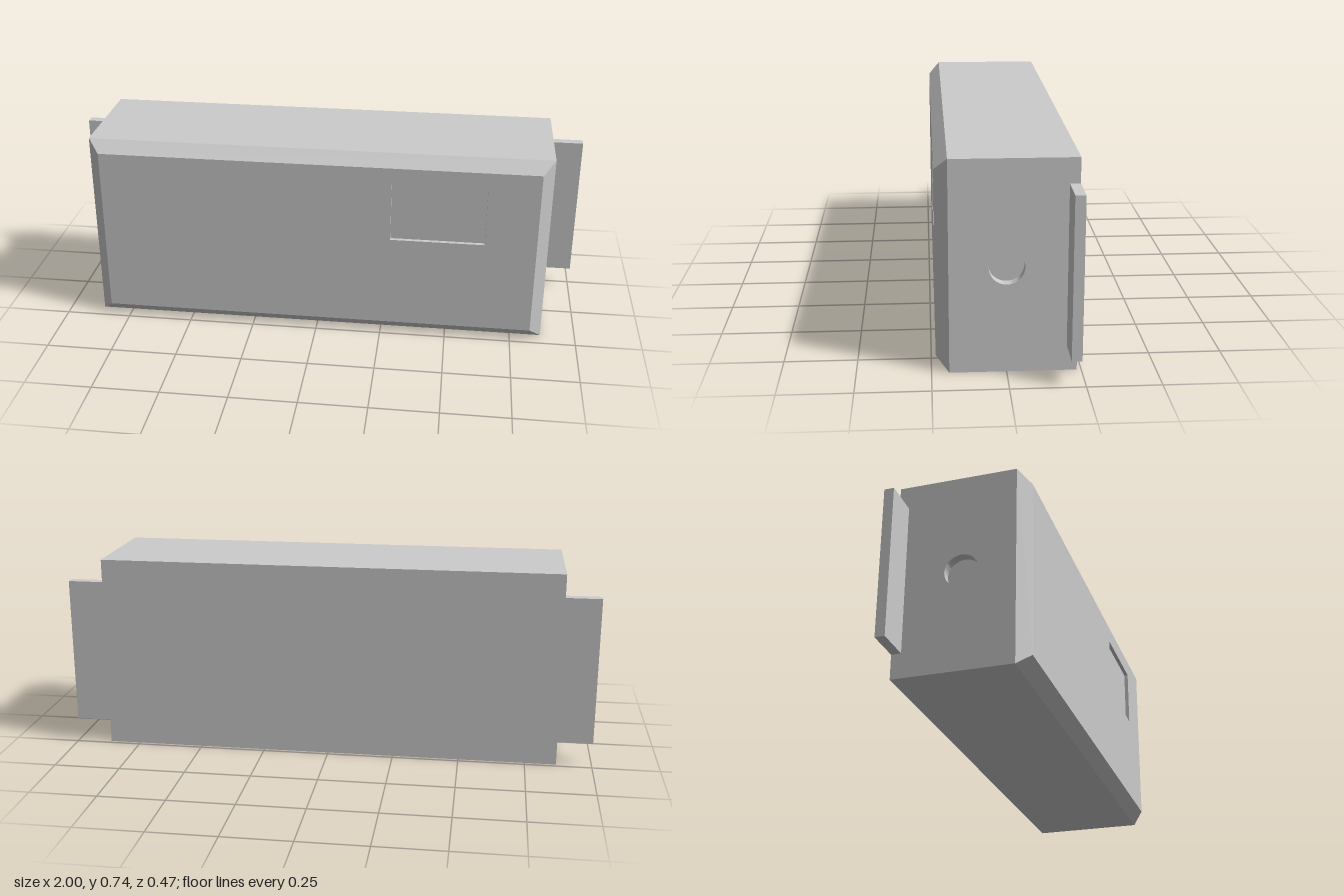
import * as THREE from 'three';
import { mergeGeometries, toCreasedNormals } from 'three/addons/utils/BufferGeometryUtils.js';

const W = 0.868, H = 0.735, D = 0.235; // half width, height, half depth
const C = 0.044; // front chamfer

const material = new THREE.MeshStandardMaterial({ color: 0xcccccc });

// Flat quads, each given as four counter-clockwise corners
function quads(list) {
  const pos = list.flatMap(([a, b, c, d]) => [a, b, c, a, c, d].flat());
  const g = new THREE.BufferGeometry();
  g.setAttribute('position', new THREE.Float32BufferAttribute(pos, 3));
  g.computeVertexNormals();
  return g;
}

const rect = (x0, y0, x1, y1) =>
  [[x0, y0], [x1, y0], [x1, y1], [x0, y1]].map(([x, y]) => new THREE.Vector2(x, y));

// Flat face in the xy plane with a blind pocket sunk towards -z
function pocketFace(outline, hole, depth) {
  const face = new THREE.Shape(outline);
  face.holes.push(new THREE.Path(hole));
  const floor = new THREE.ShapeGeometry(new THREE.Shape(hole)).translate(0, 0, -depth);
  const walls = quads(hole.map((p, i) => {
    const q = hole[(i + 1) % hole.length];
    return [[p.x, p.y, 0], [q.x, q.y, 0], [q.x, q.y, -depth], [p.x, p.y, -depth]];
  }));
  const parts = [new THREE.ShapeGeometry(face), floor].map((g) => {
    const flat = g.toNonIndexed();
    flat.deleteAttribute('uv');
    return flat;
  });
  return toCreasedNormals(mergeGeometries([...parts, walls]), 0.5);
}

export function createModel() {
  const group = new THREE.Group();
  const add = (name, geometry) => {
    const mesh = new THREE.Mesh(geometry, material);
    mesh.name = name;
    group.add(mesh);
    return mesh;
  };

  // Housing: top, bottom and back walls plus the chamfers round the front
  const ring = (z, inset) =>
    rect(-W + inset, inset, W - inset, H - inset).map((p) => [p.x, p.y, z]);
  const back = ring(-D, 0), mid = ring(D - C, 0), front = ring(D, C);
  const shell = [[...back].reverse()];
  for (let i = 0; i < 4; i++) {
    const j = (i + 1) % 4;
    if (i % 2 === 0) shell.push([back[i], back[j], mid[j], mid[i]]);
    shell.push([mid[i], mid[j], front[j], front[i]]);
  }
  add('housing', quads(shell));

  // Front panel with its shallow display recess
  add('frontPanel', pocketFace(rect(-W + C, C, W - C, H - C), rect(0.28, 0.4, 0.632, 0.625), 0.015))
    .position.z = D;

  // Ends, each with a round cable recess and a mounting flange
  const circle = Array.from({ length: 48 }, (_, i) => {
    const a = (i / 48) * Math.PI * 2;
    return new THREE.Vector2(0.06 * Math.cos(a), 0.369 + 0.06 * Math.sin(a));
  });
  for (const [side, s] of [['left', 1], ['right', -1]]) {
    const outline = s > 0 ? rect(C - D, 0, D, H) : rect(-D, 0, D - C, H);
    const end = add(side + 'End', pocketFace(outline, circle, 0.035));
    end.rotation.y = s * Math.PI / 2;
    end.position.x = s * W;

    const flange = add(side + 'Flange', new THREE.BoxGeometry(1 - W, 0.558, 0.035));
    flange.position.set(s * (1 + W) / 2, 0.369, -D + 0.0175);
  }
  return group;
}
